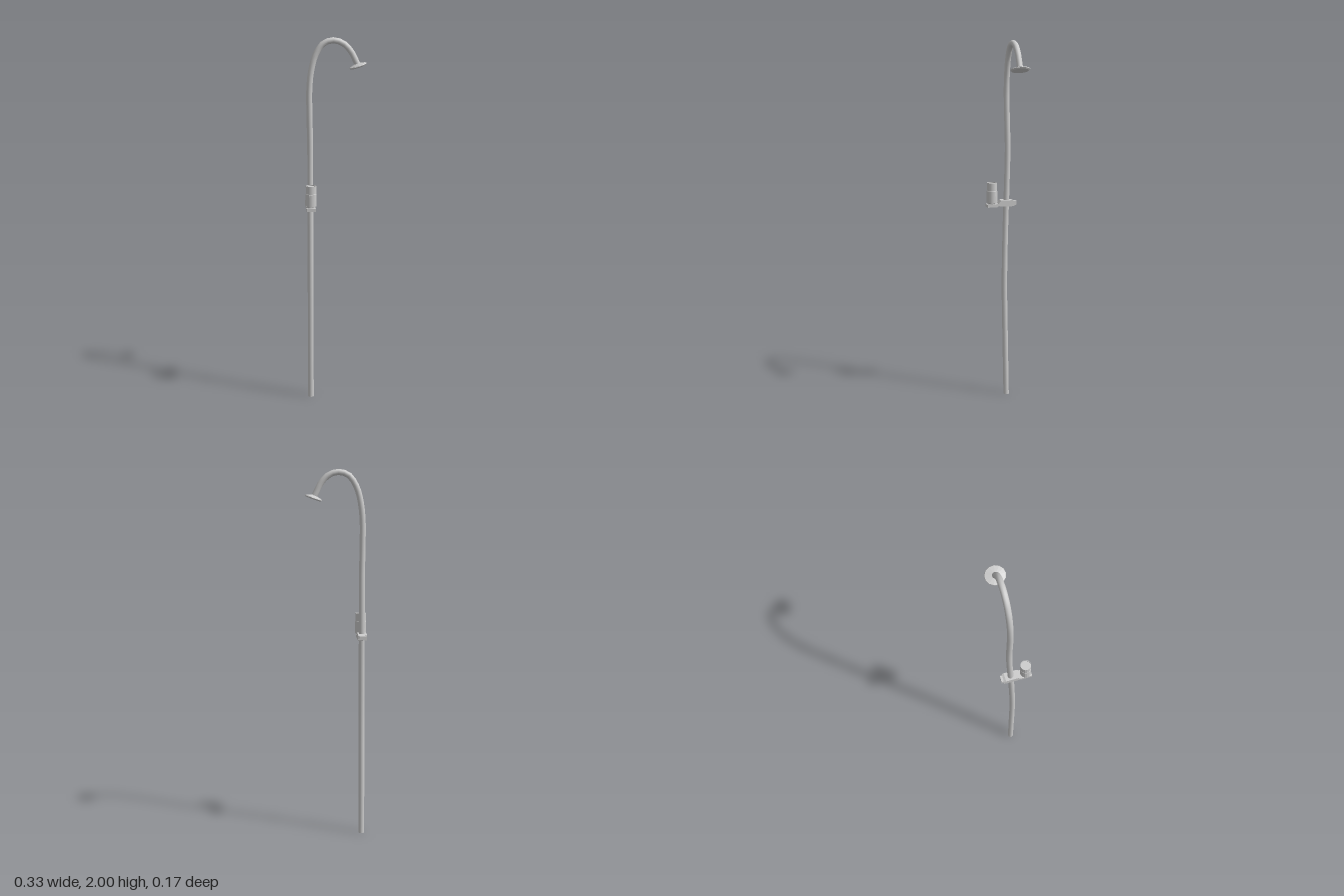
import * as THREE from 'three';

const grey = new THREE.MeshStandardMaterial({ color: 0xcccccc });
const flatGrey = new THREE.MeshStandardMaterial({ color: 0xcccccc, flatShading: true });

function add(parent, name, geometry, material, x = 0, y = 0, z = 0) {
  const mesh = new THREE.Mesh(geometry, material);
  mesh.name = name;
  mesh.position.set(x, y, z);
  parent.add(mesh);
  return mesh;
}

const lathe = (points, sides) =>
  new THREE.LatheGeometry(points.map(([r, y]) => new THREE.Vector2(r, y)), sides);

export function createModel() {
  const model = new THREE.Group();
  model.name = 'shower';

  // Slightly wavy riser pipe that bends over into a hooked arm
  const path = new THREE.CatmullRomCurve3([
    [-0.14, 0, -0.028], [-0.14, 0.3, -0.023], [-0.139, 0.65, -0.018],
    [-0.138, 0.95, -0.023], [-0.137, 1.2, -0.031], [-0.136, 1.42, -0.036],
    [-0.139, 1.6, -0.033], [-0.139, 1.73, -0.031], [-0.128, 1.83, -0.031],
    [-0.105, 1.91, -0.031], [-0.065, 1.967, -0.031], [-0.012, 1.984, -0.031],
    [0.04, 1.968, -0.031], [0.08, 1.928, -0.031], [0.114, 1.862, -0.031],
  ].map((p) => new THREE.Vector3(...p)));
  const radius = 0.016;
  add(model, 'pipe', new THREE.TubeGeometry(path, 72, radius, 12), grey);
  const foot = add(model, 'pipeEndCap', new THREE.CircleGeometry(radius, 12), grey, -0.14, 0, -0.028);
  foot.rotation.x = Math.PI / 2;

  // Tilted, shallow cone shower head
  const head = add(model, 'showerHead', lathe([
    [0, -0.007], [0.046, -0.007], [0.053, -0.001], [0.051, 0.003], [0.017, 0.012], [0, 0.016],
  ], 13), flatGrey, 0.119, 1.851, -0.031);
  head.rotation.z = 0.33;
  head.scale.x = 0.91;

  // Clamp block stepping down to a thin shelf: side profile in z and y
  const profile = new THREE.Shape([
    [-0.071, 1.098], [-0.06, 1.094], [0.0, 1.094], [0.018, 1.098], [0.03, 1.092],
    [0.083, 1.092], [0.083, 1.108], [0.021, 1.11], [0.007, 1.128], [-0.06, 1.128], [-0.071, 1.123],
  ].map(([z, y]) => new THREE.Vector2(z, y)));
  const width = 0.048;
  const bracket = new THREE.ExtrudeGeometry(profile, { depth: width, bevelEnabled: false });
  bracket.translate(0, 0, -width / 2);
  bracket.rotateY(-Math.PI / 2);
  add(model, 'bracket', bracket, flatGrey, -0.139);
  add(model, 'clampTab', new THREE.BoxGeometry(0.036, 0.022, 0.014), flatGrey, -0.14, 1.111, -0.076);

  // Round holder on the shelf, with a narrow base and a rimmed top
  add(model, 'holder', lathe([
    [0, 0], [0.024, 0], [0.024, 0.008], [0.0295, 0.01], [0.0295, 0.075],
    [0.028, 0.077], [0.028, 0.12], [0.0255, 0.12], [0.0255, 0.114], [0, 0.114],
  ], 16), flatGrey, -0.138, 1.107, 0.053);

  return model;
}
